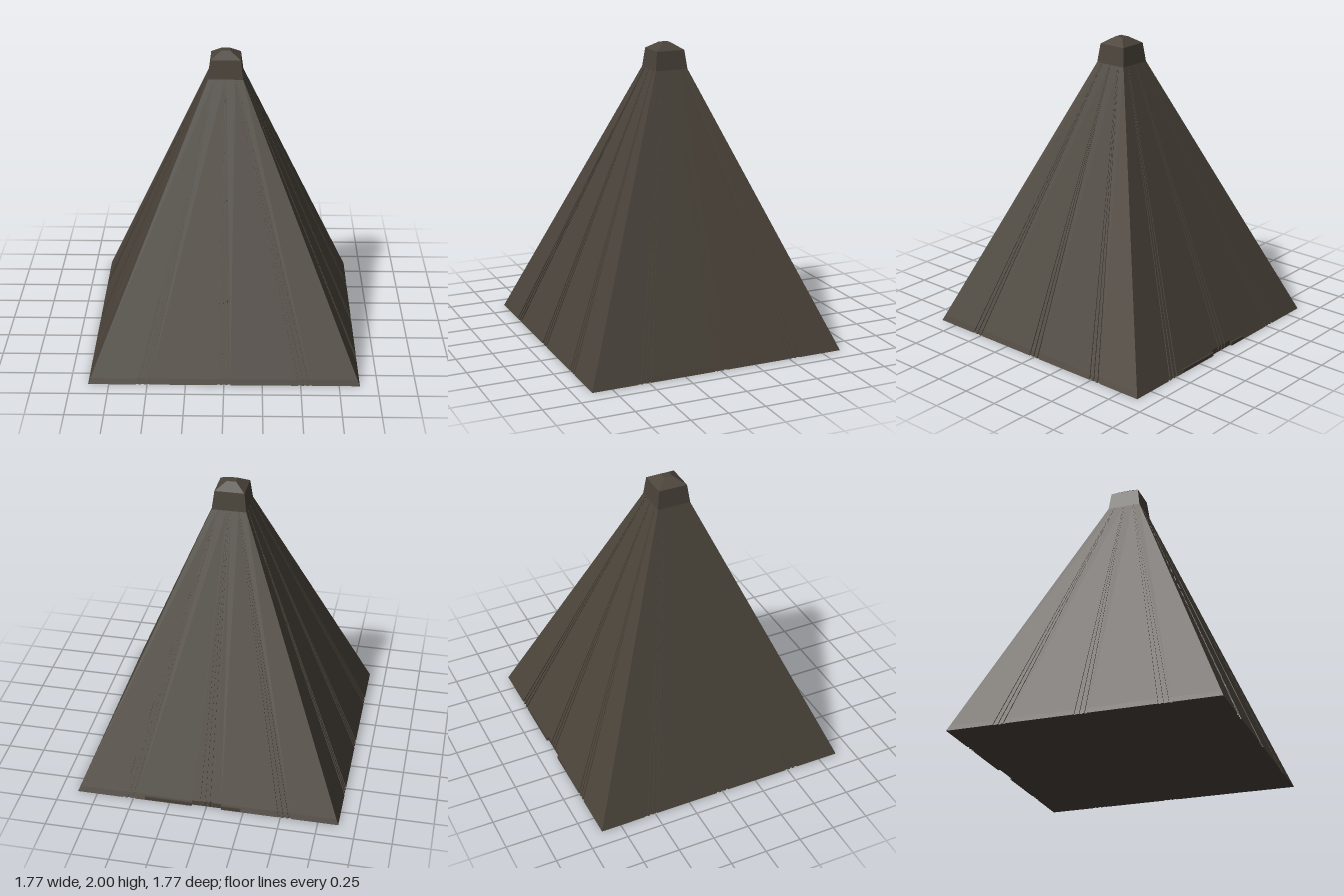
import * as THREE from 'three';

const HALF = 0.885, SHOULDER_Y = 1.83, SHOULDER = 0.114;
const NOTCH_Y = 0.036, NOTCH_D = 0.015, NOTCH_X = 0.1;

const stone = new THREE.MeshStandardMaterial({ color: 0x4a433a, flatShading: true });
stone.name = 'darkStone';

// One side of the ground outline as [position along side, depth, in notch]
function sideOutline(back) {
  const pts = [[-HALF, 0, false]];
  for (const c of [-0.53, 0, 0.53]) {
    const notched = back && c === 0;
    if (notched) pts.push([-NOTCH_X, 0, false], [-NOTCH_X, 0, true]);
    for (const o of [-0.034, 0, 0.034]) {
      const a = c + o - 0.009, b = c + o + 0.009;
      pts.push([a, 0, notched], [a, 0.007, notched], [b, 0.007, notched], [b, 0, notched]);
    }
    if (notched) pts.push([NOTCH_X, 0, true], [NOTCH_X, 0, false]);
  }
  return pts;
}

// Full outline, turned around the four sides; the notch cuts the ground ring only
function ring(scale, cut) {
  const out = [];
  for (let k = 0; k < 4; k++) {
    for (const [u, depth, notched] of sideOutline(k === 2)) {
      let x = u, z = HALF - (cut && notched ? Math.max(depth, NOTCH_D) : depth);
      for (let i = 0; i < k; i++) [x, z] = [z, -x];
      out.push(new THREE.Vector2(x * scale, z * scale));
    }
  }
  return out;
}

// Grooved sloping walls between the rings
function wallGeometry(levels) {
  const pos = [];
  for (let l = 0; l < levels.length - 1; l++) {
    const lo = levels[l], hi = levels[l + 1], n = lo.pts.length;
    for (let i = 0; i < n; i++) {
      const j = (i + 1) % n;
      const a = [lo.pts[i].x, lo.y, lo.pts[i].y], b = [lo.pts[j].x, lo.y, lo.pts[j].y];
      const c = [hi.pts[j].x, hi.y, hi.pts[j].y], d = [hi.pts[i].x, hi.y, hi.pts[i].y];
      pos.push(...a, ...b, ...c, ...a, ...c, ...d);
    }
  }
  const g = new THREE.BufferGeometry();
  g.setAttribute('position', new THREE.Float32BufferAttribute(pos, 3));
  g.computeVertexNormals();
  return g;
}

export function createModel() {
  const group = new THREE.Group();
  group.name = 'pyramidTower';
  const add = (name, geo) => {
    const m = new THREE.Mesh(geo, stone);
    m.name = name;
    group.add(m);
    return m;
  };

  // Body
  const ground = ring(1, true);
  const scaleAt = (y) => 1 - (y / SHOULDER_Y) * (1 - SHOULDER / HALF);
  add('groovedWalls', wallGeometry([
    { y: 0, pts: ground },
    { y: NOTCH_Y, pts: ring(scaleAt(NOTCH_Y), false) },
    { y: SHOULDER_Y, pts: ring(scaleAt(SHOULDER_Y), false) },
  ]));

  // Underside
  add('base', new THREE.ShapeGeometry(new THREE.Shape(ground)).rotateX(Math.PI / 2));

  // Square collar and blunt tip
  const frustum = (bottom, top, y0, y1, open) =>
    new THREE.CylinderGeometry(top * Math.SQRT2, bottom * Math.SQRT2, y1 - y0, 4, 1, open)
      .rotateY(Math.PI / 4).translate(0, (y0 + y1) / 2, 0);
  add('collar', frustum(SHOULDER, 0.098, SHOULDER_Y, 1.955, true));
  add('tip', frustum(0.098, 0.03, 1.955, 2, false));

  // Low sills on either side of the back notch
  for (const [x0, x1] of [[-0.23, -NOTCH_X], [NOTCH_X, 0.42]]) {
    add('sill', new THREE.BoxGeometry(x1 - x0, 0.024, 0.012))
      .position.set((x0 + x1) / 2, 0.0125, -HALF + 0.007);
  }
  return group;
}
